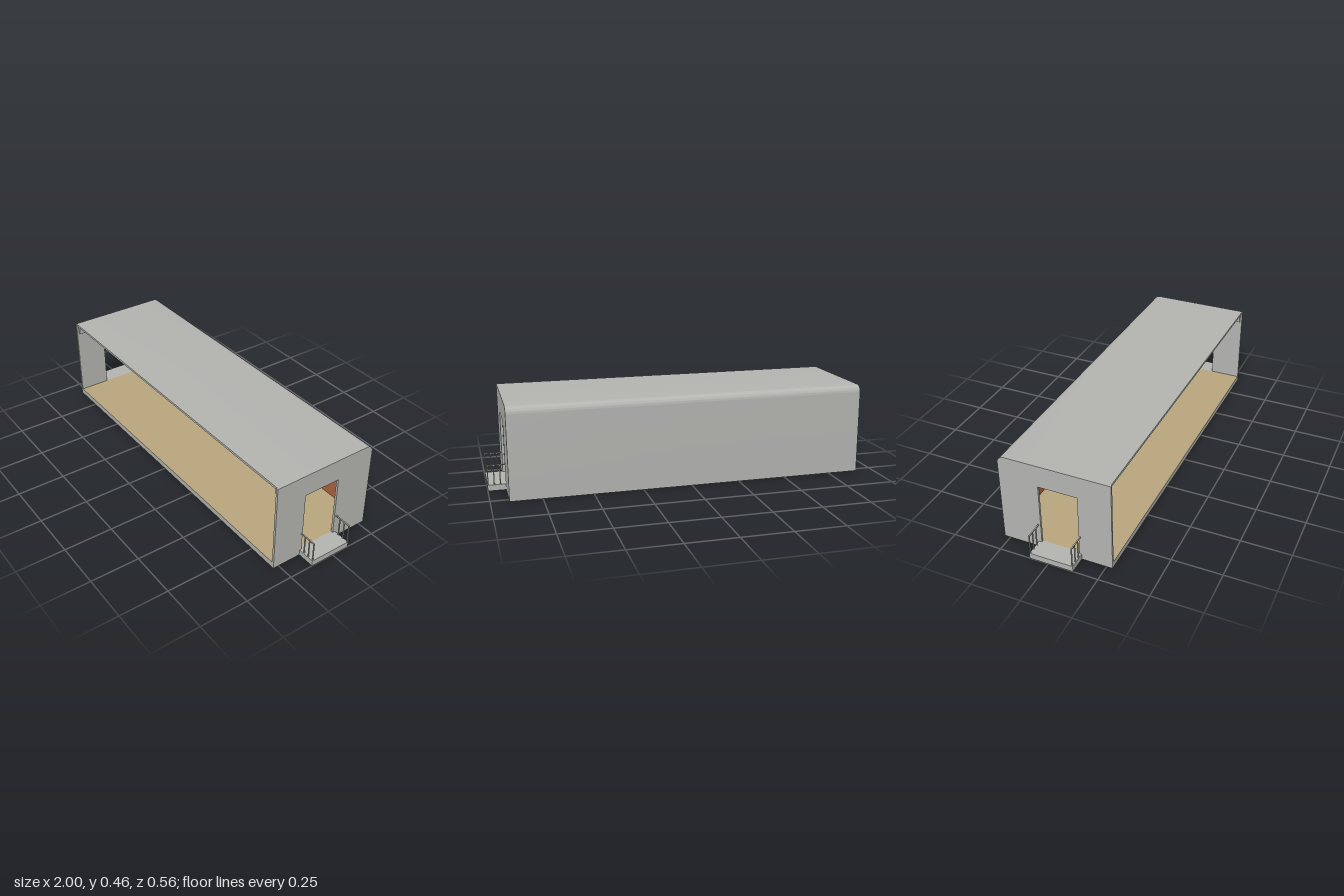
import * as THREE from 'three';
import { toCreasedNormals } from 'three/addons/utils/BufferGeometryUtils.js';

const mat = (name, color) => {
  const m = new THREE.MeshStandardMaterial({ color });
  m.name = name;
  return m;
};

export function createModel() {
  const grey = mat('shell grey', 0xb4b4b1);
  const brown = mat('panel brown', 0xb0633f);
  const tan = mat('floor tan', 0xb8a67c);

  const model = new THREE.Group();
  model.name = 'openSidedCarriage';
  const X = 0.91, Z = 0.28, H = 0.463, FLOOR = 0.03, WALL = 0.012, R = 0.035;

  const add = (name, geo, material, x = 0, y = 0, z = 0, parent = model) => {
    const mesh = new THREE.Mesh(geo, material);
    mesh.name = name;
    mesh.position.set(x, y, z);
    parent.add(mesh);
    return mesh;
  };
  // Box given by its lower and upper corners
  const box = (name, material, x0, x1, y0, y1, z0, z1, parent) =>
    add(name, new THREE.BoxGeometry(x1 - x0, y1 - y0, z1 - z0), material,
      (x0 + x1) / 2, (y0 + y1) / 2, (z0 + z1) / 2, parent);
  // Extrudes a side profile (u = -z, y) along x, from x0 to x1
  const alongX = (shape, x0, x1) => {
    const geo = new THREE.ExtrudeGeometry(shape, { depth: x1 - x0, bevelEnabled: false, curveSegments: 10 });
    geo.rotateY(Math.PI / 2).translate(x0, 0, 0);
    return toCreasedNormals(geo, 0.5);
  };

  // Floor slab, back wall and roof as one bent section
  const section = new THREE.Shape();
  section.moveTo(-Z, 0);
  section.lineTo(Z, 0);
  section.lineTo(Z, H - R);
  section.absarc(Z - R, H - R, R, 0, Math.PI / 2, false);
  section.lineTo(-Z + 0.004, H);
  section.lineTo(-Z + 0.004, H - WALL);
  section.lineTo(Z - R, H - WALL);
  section.absarc(Z - R, H - R, R - WALL, Math.PI / 2, 0, true);
  section.lineTo(Z - WALL, FLOOR - 0.002);
  section.lineTo(-Z, FLOOR - 0.002);
  add('floorBackAndRoof', alongX(section, -X + WALL, X - WALL), grey);
  box('floorCovering', tan, -X + WALL, X - WALL, FLOOR - 0.002, FLOOR, -Z + WALL, Z);

  // End walls with a doorway
  const end = new THREE.Shape();
  end.moveTo(-Z, 0);
  end.lineTo(Z, 0);
  end.lineTo(Z, H - R);
  end.absarc(Z - R, H - R, R, 0, Math.PI / 2, false);
  end.lineTo(-Z, H);
  const door = new THREE.Path();
  door.moveTo(-0.115, FLOOR);
  door.lineTo(-0.115, 0.35);
  door.lineTo(0.08, 0.35);
  door.lineTo(0.08, FLOOR);
  end.holes.push(door);
  add('leftEndWall', alongX(end, X - WALL, X), grey);
  add('rightEndWall', alongX(end, -X, -X + WALL), grey);

  // Inner back panel with rounded window recesses
  const panel = new THREE.Shape();
  const px = X - WALL;
  panel.moveTo(-px, FLOOR);
  panel.lineTo(px, FLOOR);
  panel.lineTo(px, 0.42);
  panel.lineTo(-px, 0.42);
  for (const cx of [-0.727, -0.475, 0.475, 0.727]) {
    const w = 0.089, lo = 0.185, hi = 0.343, r = 0.009;
    const hole = new THREE.Path();
    hole.absarc(cx + w - r, hi - r, r, 0, Math.PI / 2, false);
    hole.absarc(cx - w + r, hi - r, r, Math.PI / 2, Math.PI, false);
    hole.absarc(cx - w + r, lo + r, r, Math.PI, Math.PI * 1.5, false);
    hole.absarc(cx + w - r, lo + r, r, Math.PI * 1.5, Math.PI * 2, false);
    panel.holes.push(hole);
  }
  add('innerBackPanel', new THREE.ExtrudeGeometry(panel, { depth: 0.008, bevelEnabled: false, curveSegments: 4 }),
    brown, 0, 0, -Z + WALL);
  box('panelTrim', brown, -0.89, 0.89, 0.4, 0.414, -Z + WALL + 0.008, -Z + 0.028);

  // Stepped cornice under the roof, along the back and both ends
  const steps = [[0.414, 0.43, 0.018], [0.43, H - WALL, 0.03]];
  for (const [y0, y1, out] of steps) {
    box('backCornice', grey, -px, px, y0, y1, -Z + WALL, -Z + WALL + out);
    for (const s of [-1, 1]) {
      const a = s * px, b = s * (px - out * 0.5);
      box('endCornice', grey, Math.min(a, b), Math.max(a, b), y0 - 0.012, y1, -Z + WALL, Z - 0.01);
    }
  }

  // End platforms with railings
  for (const s of [-1, 1]) {
    const platform = new THREE.Group();
    platform.name = s > 0 ? 'leftPlatform' : 'rightPlatform';
    model.add(platform);
    add('platformSlab', new THREE.BoxGeometry(1 - X, FLOOR, 0.221), grey, s * (1 + X) / 2, FLOOR / 2, 0.0155, platform);
    for (const z of [0.122, -0.091]) {
      add('handRail', new THREE.BoxGeometry(1 - X, 0.005, 0.006), grey, s * (1 + X) / 2, 0.1305, z, platform);
      for (const x of [0.937, 0.967, 0.997]) {
        add('railPost', new THREE.BoxGeometry(0.005, 0.1, 0.005), grey, s * x, 0.08, z, platform);
      }
    }
  }
  return model;
}
